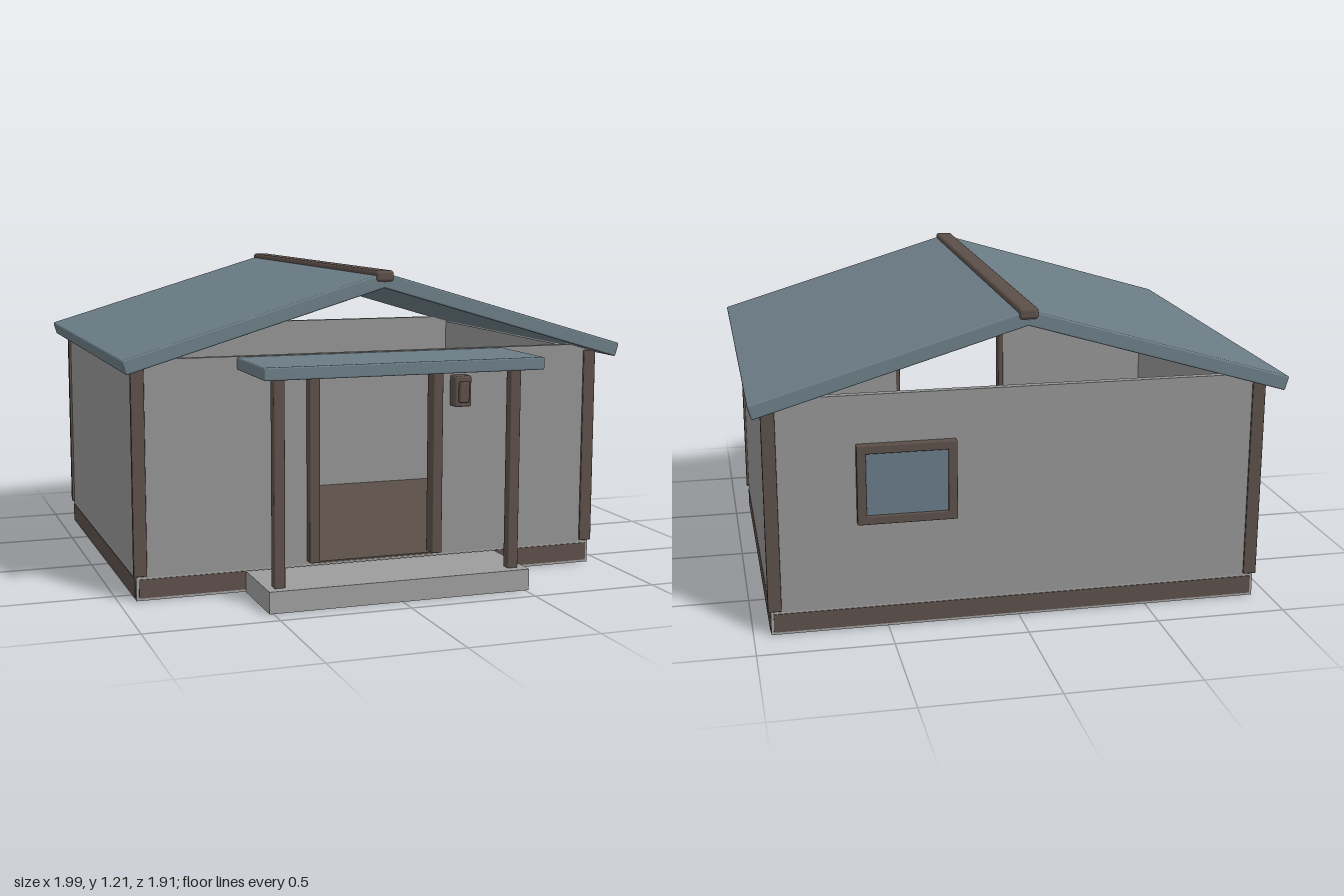
import * as THREE from 'three';
import { RoundedBoxGeometry } from 'three/addons/geometries/RoundedBoxGeometry.js';

export function createModel() {
  const house = new THREE.Group();
  house.name = 'house';

  const material = (name, color) => {
    const m = new THREE.MeshStandardMaterial({ color });
    m.name = name;
    return m;
  };
  const wall = material('wallGrey', 0x929292);
  const concrete = material('concrete', 0x9c9c9c);
  const wood = material('darkWood', 0x5b4e48);
  const roofing = material('roofSlate', 0x6b7c85);
  const glass = material('windowGlass', 0x667884);

  // Box given by its min and max on each axis; bevel rounds the edges
  const block = (name, mat, [x0, x1], [y0, y1], [z0, z1], bevel = 0) => {
    const size = [x1 - x0, y1 - y0, z1 - z0];
    const geometry = bevel
      ? new RoundedBoxGeometry(...size, 2, bevel)
      : new THREE.BoxGeometry(...size);
    const mesh = new THREE.Mesh(geometry, mat);
    mesh.name = name;
    mesh.position.set((x0 + x1) / 2, (y0 + y1) / 2, (z0 + z1) / 2);
    house.add(mesh);
    return mesh;
  };
  // Range on the given side of the middle
  const side = (s, a, b) => (s > 0 ? [a, b] : [-b, -a]);

  const W = 0.935, FRONT = 0.6, BACK = -0.84, T = 0.03, BASE = 0.09, TOP = 0.9;

  // Foundation with dark panels, and the floor
  block('foundation', concrete, [-W, W], [0.002, BASE], [BACK, FRONT]);
  block('frontBasePanel', wood, [-0.925, 0.925], [0.012, 0.083], [FRONT, FRONT + 0.003]);
  block('backBasePanel', wood, [-0.925, 0.925], [0.012, 0.083], [BACK - 0.003, BACK]);
  block('basePanelUnderside', wood, [-0.925, 0.925], [0, 0.004], [BACK + 0.01, FRONT - 0.01]);
  block('floor', wood, [-W + T, W - T], [BASE, BASE + 0.005], [BACK + T, FRONT - 0.005]);
  for (const s of [1, -1]) {
    block('sideBasePanel', wood, side(s, W, W + 0.003), [0.012, 0.083], [BACK + 0.01, FRONT - 0.01]);
  }

  // Walls with an open doorway and open gables
  const DOOR = 0.25, DOOR_TOP = 0.83;
  block('backWall', wall, [-W, W], [BASE, TOP], [BACK, BACK + T]);
  block('wallOverDoor', wall, [-DOOR, DOOR], [DOOR_TOP, TOP], [FRONT - T, FRONT]);
  for (const s of [1, -1]) {
    block('frontWall', wall, side(s, DOOR, W), [BASE, TOP], [FRONT - T, FRONT]);
    block('sideWall', wall, side(s, W - T, W), [BASE, 0.875], [BACK + T, FRONT - T]);
    // Corner trim
    for (const [z0, z1] of [[0.588, 0.61], [-0.85, -0.826]]) {
      block('cornerTrim', wood, side(s, 0.895, 0.945), [0.095, 0.875], [z0, z1], 0.004);
    }
    // Door frame and porch posts
    block('doorFramePost', wood, side(s, 0.231, 0.272), [0.1, 0.835], [0.575, 0.64], 0.005);
    block('porchPost', wood, side(s, 0.443, 0.485), [0.08, 0.855], [0.836, 0.878], 0.005);
  }
  block('doorLintel', wood, [-0.28, 0.28], [0.826, 0.852], [0.575, 0.648], 0.005);

  // Porch step and canopy
  block('porchSlab', concrete, [-0.515, 0.515], [0, 0.082], [FRONT, 0.915]);
  block('porchCanopy', roofing, [-0.542, 0.542], [0.85, 0.897], [0.59, 0.956], 0.006);

  // Roof slopes and ridge cap
  const pitch = THREE.MathUtils.degToRad(16.5);
  for (const s of [1, -1]) {
    const slope = block('roofSlope', roofing, [-0.515, 0.515], [0, 0.055], [-0.948, 0.71], 0.007);
    slope.position.x = s * 0.493;
    slope.position.y = 1.031;
    slope.rotation.z = -s * pitch;
  }
  block('ridgeCap', wood, [-0.035, 0.035], [1.172, 1.214], [-0.956, 0.717], 0.012);

  // Wall lamp beside the door
  block('lampBody', wood, [0.316, 0.385], [0.677, 0.798], [0.595, 0.652], 0.007);
  block('lampLens', wood, [0.33, 0.371], [0.695, 0.777], [0.64, 0.666], 0.006);

  // Back window: frame bars around a pane
  const x0 = 0.24, x1 = 0.61, y0 = 0.415, y1 = 0.718, bar = 0.034;
  const depth = [-0.867, BACK + 0.005];
  for (const y of [y0, y1 - bar]) {
    block('windowFrameRail', wood, [x0, x1], [y, y + bar], depth, 0.005);
  }
  for (const x of [x0, x1 - bar]) {
    block('windowFrameStile', wood, [x, x + bar], [y0, y1], depth, 0.005);
  }
  block('windowPane', glass, [x0 + bar / 2, x1 - bar / 2], [y0 + bar / 2, y1 - bar / 2], [-0.858, -0.849]);

  return house;
}
